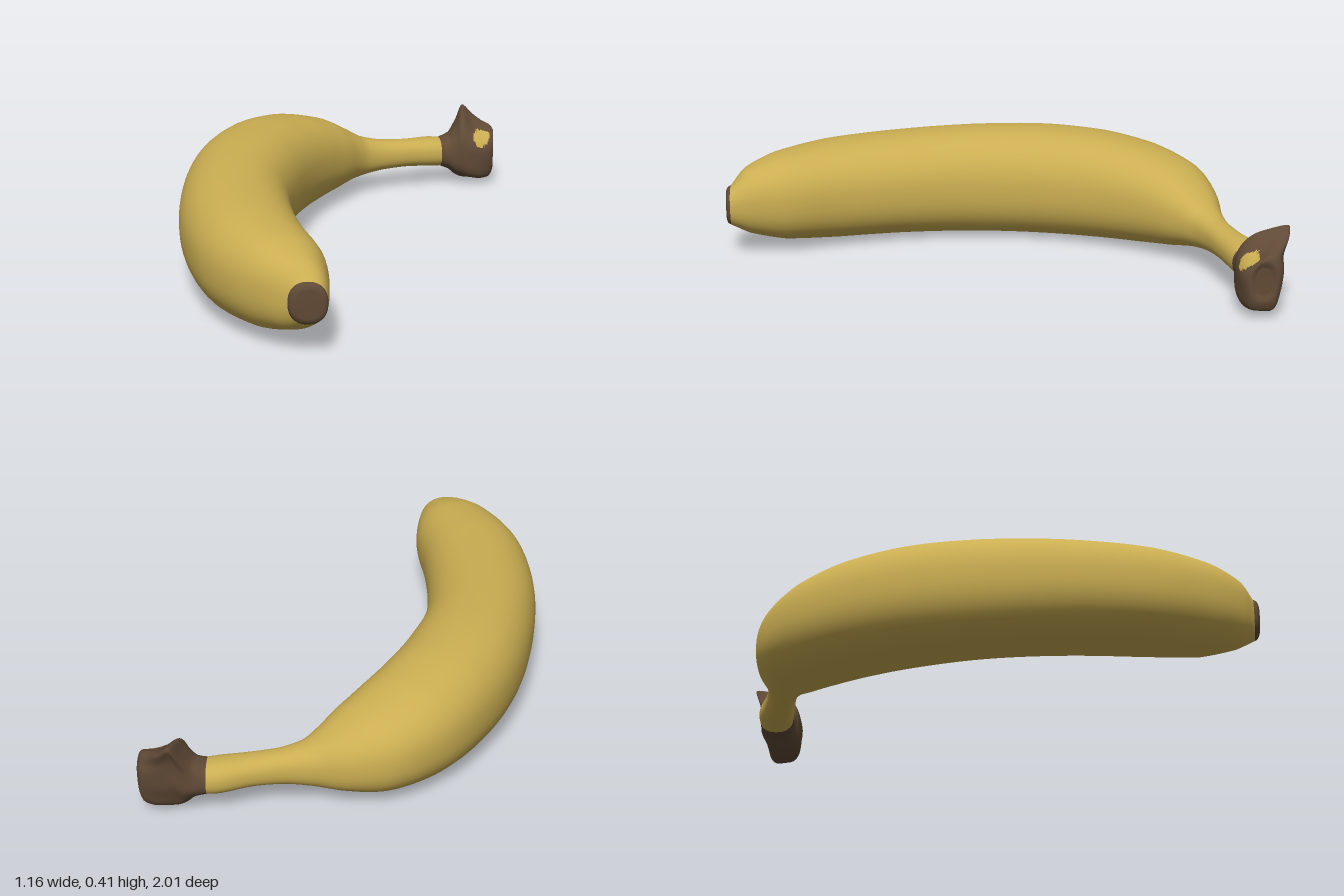
import * as THREE from 'three';

const SIDES = 48;

// Each station: [outer x, outer z, inner x, inner z, top y, bottom y, backward lean of the upper half]
const TIP = [
  [-0.13, 0.98, 0, 0.97, 0.26, 0.115, 0],
  [-0.122, 0.992, -0.003, 0.98, 0.253, 0.122, 0],
  [-0.105, 0.998, -0.018, 0.987, 0.238, 0.137, 0],
].reverse();

const PEEL = [
  [-0.13, 0.98, 0, 0.97, 0.26, 0.115, 0],
  [-0.2, 0.95, 0, 0.89, 0.315, 0.075, 0],
  [-0.31, 0.865, -0.015, 0.75, 0.355, 0.035, 0],
  [-0.44, 0.69, -0.085, 0.55, 0.377, 0.012, 0],
  [-0.54, 0.4, -0.15, 0.3, 0.39, 0.005, 0],
  [-0.58, 0.08, -0.18, 0.07, 0.402, 0, 0],
  [-0.57, -0.2, -0.16, -0.14, 0.408, 0, 0],
  [-0.51, -0.44, -0.115, -0.33, 0.4, 0.003, 0],
  [-0.41, -0.64, -0.05, -0.49, 0.372, 0.012, 0],
  [-0.27, -0.78, 0.01, -0.6, 0.325, 0.03, 0],
  [-0.13, -0.825, 0.05, -0.67, 0.27, 0.053, 0],
  [0, -0.832, 0.085, -0.71, 0.225, 0.07, 0],
  [0.1, -0.85, 0.15, -0.75, 0.203, 0.082, 0],
  [0.2, -0.89, 0.24, -0.785, 0.195, 0.085, 0],
  [0.3, -0.945, 0.33, -0.815, 0.193, 0.077, 0],
  [0.345, -0.955, 0.37, -0.83, 0.188, 0.075, 0],
];

const CROWN = [
  [0.345, -0.955, 0.37, -0.83, 0.188, 0.075, 0],
  [0.39, -0.965, 0.4, -0.832, 0.205, 0.058, 0.02],
  [0.425, -0.975, 0.425, -0.828, 0.255, 0.03, 0.06],
  [0.45, -0.978, 0.45, -0.822, 0.303, 0.016, 0.09],
  [0.49, -0.982, 0.49, -0.822, 0.268, 0.01, 0.08],
  [0.53, -0.985, 0.53, -0.832, 0.243, 0.01, 0.05],
  [0.563, -0.98, 0.563, -0.85, 0.23, 0.022, 0.03],
  [0.577, -0.965, 0.577, -0.868, 0.212, 0.06, 0.01],
  [0.57, -0.945, 0.57, -0.89, 0.185, 0.09, 0],
];

// Sweeps a softly squared section through the stations; isPatch picks faces for material 1
function sweep(stations, steps, { capStart, capEnd, ripple = 0, isPatch } = {}) {
  const curve = (f) => new THREE.CatmullRomCurve3(stations.map((s) => new THREE.Vector3(...f(s))));
  const outerCurve = curve((s) => [s[0], 0, s[1]]);
  const innerCurve = curve((s) => [s[2], 0, s[3]]);
  const heightCurve = curve((s) => [s[4], s[5], s[6]]);
  const pos = [];
  const soft = (v) => Math.sign(v) * Math.abs(v) ** (2 / 2.3);

  for (let i = 0; i <= steps; i++) {
    const t = i / steps;
    const o = outerCurve.getPoint(t), n = innerCurve.getPoint(t), h = heightCurve.getPoint(t);
    for (let j = 0; j < SIDES; j++) {
      const a = (j / SIDES) * Math.PI * 2;
      const bump = 1 - ripple * Math.sin(Math.PI * t) * (0.5 + 0.5 * Math.sin(a * 5 + t * 4));
      const c = soft(Math.cos(a)) * bump, s = soft(Math.sin(a)) * bump;
      pos.push(
        (o.x + n.x) / 2 + ((n.x - o.x) / 2) * c,
        (h.x + h.y) / 2 + ((h.x - h.y) / 2) * s,
        (o.z + n.z) / 2 + ((n.z - o.z) / 2) * c - h.z * Math.max(0, s) ** 2,
      );
    }
  }

  const faces = [[], []];
  const addFace = (a, b, c) => {
    const mid = [0, 1, 2].map((k) => (pos[a * 3 + k] + pos[b * 3 + k] + pos[c * 3 + k]) / 3);
    faces[isPatch && isPatch(...mid) ? 1 : 0].push(a, b, c);
  };
  for (let i = 0; i < steps; i++) {
    for (let j = 0; j < SIDES; j++) {
      const k = (j + 1) % SIDES;
      const a = i * SIDES + j, b = i * SIDES + k;
      addFace(a, a + SIDES, b);
      addFace(b, a + SIDES, b + SIDES);
    }
  }
  // End caps as fans around the ring centre
  const cap = (ring, flip) => {
    const start = ring * SIDES, centre = pos.length / 3, sum = [0, 0, 0];
    for (let j = 0; j < SIDES; j++) for (let k = 0; k < 3; k++) sum[k] += pos[(start + j) * 3 + k] / SIDES;
    pos.push(...sum);
    for (let j = 0; j < SIDES; j++) {
      const a = start + j, b = start + ((j + 1) % SIDES);
      if (flip) addFace(centre, b, a);
      else addFace(centre, a, b);
    }
  };
  if (capStart) cap(0, false);
  if (capEnd) cap(steps, true);

  const geo = new THREE.BufferGeometry();
  geo.setAttribute('position', new THREE.Float32BufferAttribute(pos, 3));
  geo.setIndex([...faces[0], ...faces[1]]);
  geo.addGroup(0, faces[0].length, 0);
  geo.addGroup(faces[0].length, faces[1].length, 1);
  geo.computeVertexNormals();
  return geo;
}

export function createModel() {
  const yellow = new THREE.MeshStandardMaterial({ name: 'peelYellow', color: 0xcbae52 });
  const brown = new THREE.MeshStandardMaterial({ name: 'driedBrown', color: 0x604a36 });
  const group = new THREE.Group();
  group.name = 'banana';

  const add = (name, geometry, materials) => {
    const mesh = new THREE.Mesh(geometry, materials);
    mesh.name = name;
    group.add(mesh);
  };

  // Curved fruit tapering into its stem
  add('peelAndStem', sweep(PEEL, 120), [yellow, brown]);
  // Dried blossom end
  add('blossomTip', sweep(TIP, 6, { capStart: true }), [brown, yellow]);
  // Torn, flared stem end with a small patch of bare peel
  const isPatch = (x, y, z) => z > -0.9 && ((x - 0.53) / 0.032) ** 2 + ((y - 0.2) / 0.034) ** 2 < 1;
  add('stemCrown', sweep(CROWN, 48, { capEnd: true, ripple: 0.1, isPatch }), [brown, yellow]);

  return group;
}
